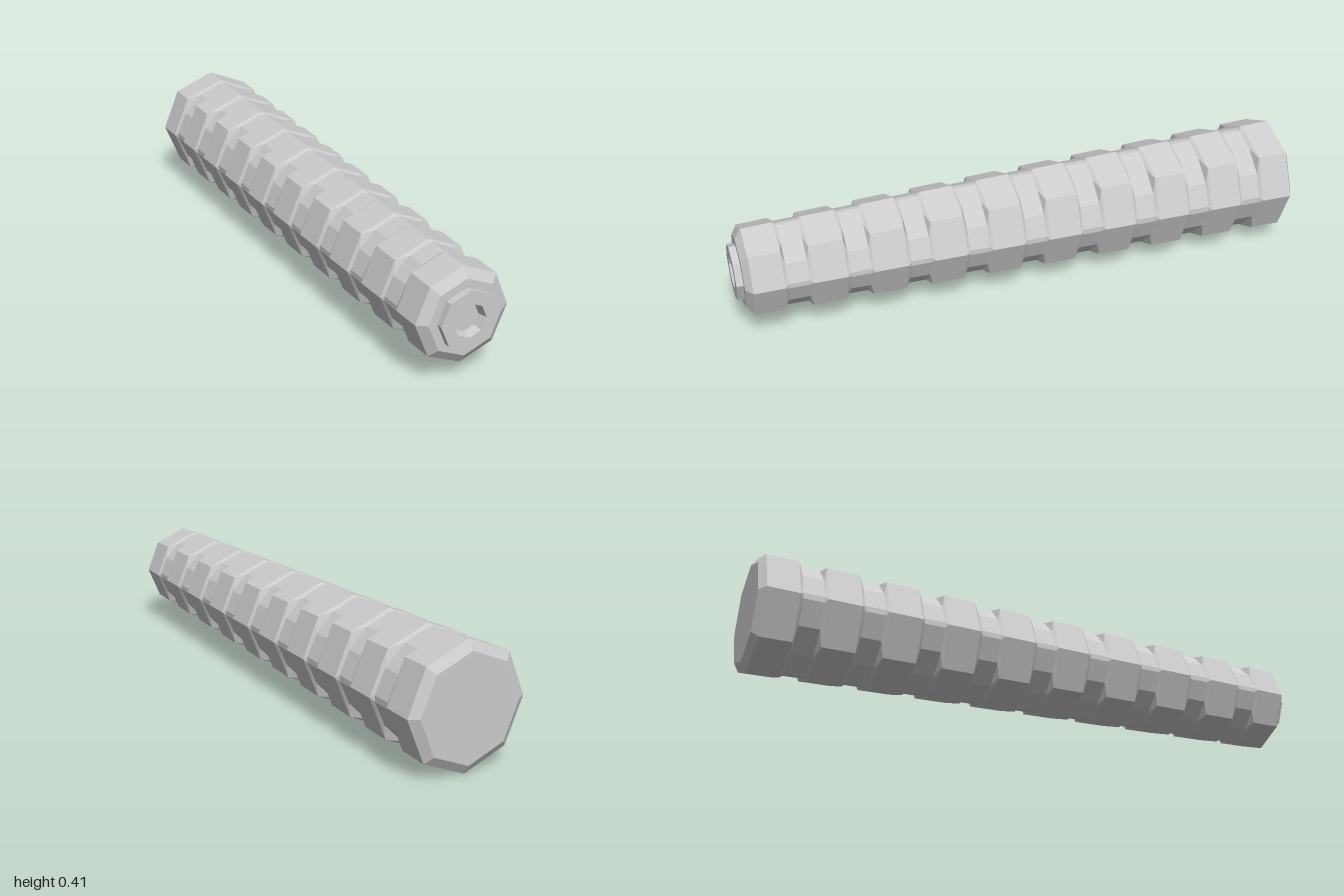
import * as THREE from 'three';

const CENTER_Y = 0.207;
const material = new THREE.MeshStandardMaterial({ color: 0xcccccc, flatShading: true, side: THREE.DoubleSide });

// Octagonal ring stored as two points per corner; a notch pulls each pair apart and inwards.
function ring(z, r, notched = false) {
  const points = [];
  for (let k = 0; k < 8; k++) {
    const diagonal = k % 2 === 1;
    const spread = notched ? THREE.MathUtils.degToRad(diagonal ? 15.3 : 3) : 0;
    const radius = notched ? r * (diagonal ? 0.887 : 0.946) : r;
    for (const side of [-1, 1]) {
      const a = k * Math.PI / 4 + side * spread;
      points.push(new THREE.Vector3(radius * Math.cos(a), radius * Math.sin(a), z));
    }
  }
  return points;
}

// Skin a row of rings, leaving out collapsed triangles.
function skin(rings) {
  const positions = [];
  const triangle = (...corners) => {
    if (new THREE.Triangle(...corners).getArea() < 1e-9) return;
    for (const p of corners) positions.push(p.x, p.y, p.z);
  };
  for (let i = 0; i + 1 < rings.length; i++) {
    const n = rings[i].length;
    for (let j = 0; j < n; j++) {
      const k = (j + 1) % n;
      const a = rings[i][j], b = rings[i][k], c = rings[i + 1][k], d = rings[i + 1][j];
      triangle(a, d, c);
      triangle(a, c, b);
    }
  }
  const geometry = new THREE.BufferGeometry();
  geometry.setAttribute('position', new THREE.Float32BufferAttribute(positions, 3));
  geometry.computeVertexNormals();
  return geometry;
}

function part(name, rings) {
  const mesh = new THREE.Mesh(skin(rings), material);
  mesh.name = name;
  mesh.position.y = CENTER_Y;
  return mesh;
}

export function createModel() {
  const model = new THREE.Group();
  model.name = 'ribbedHandle';

  // Tapered grip with nine notched grooves and bevelled ends
  const radiusAt = z => THREE.MathUtils.mapLinear(z, -0.98, 0.955, 0.207, 0.156);
  const grip = [ring(0.977, 0.09), ring(0.977, 0.124), ring(0.955, 0.156)];
  for (let i = 8; i >= 0; i--) {
    const z = -0.826 + i * 0.204;
    grip.push(ring(z + 0.046, radiusAt(z + 0.046)));
    grip.push(ring(z + 0.035, radiusAt(z + 0.035), true));
    grip.push(ring(z - 0.035, radiusAt(z - 0.035), true));
    grip.push(ring(z - 0.046, radiusAt(z - 0.046)));
  }
  grip.push(ring(-0.98, 0.207), ring(-1, 0.175), ring(-1, 0));
  model.add(part('grip', grip));

  // Front collar with a shallow tapered socket
  model.add(part('frontCollar', [
    ring(0.97, 0), ring(0.97, 0.047), ring(1, 0.055), ring(1, 0.096), ring(0.975, 0.096),
  ]));

  return model;
}
